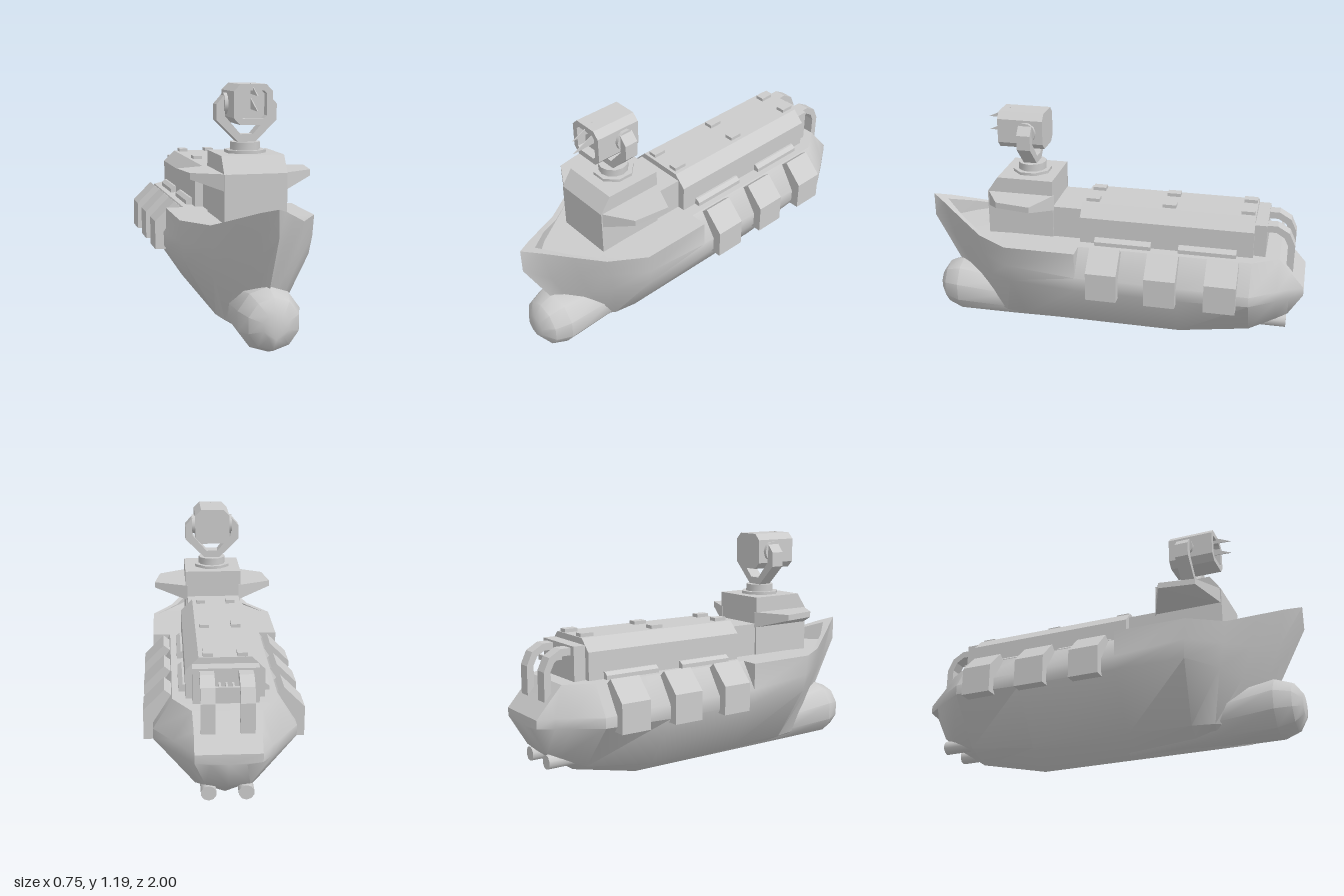
import * as THREE from 'three';
import { toCreasedNormals } from 'three/addons/utils/BufferGeometryUtils.js';
import { ConvexGeometry } from 'three/addons/geometries/ConvexGeometry.js';

const grey = new THREE.MeshStandardMaterial({ color: 0xcccccc });

export function createModel() {
  const model = new THREE.Group();

  const add = (name, geo, x = 0, y = 0, z = 0) => {
    const mesh = new THREE.Mesh(geo, grey);
    mesh.name = name;
    mesh.position.set(x, y, z);
    model.add(mesh);
    return mesh;
  };
  const box = (name, x0, x1, y0, y1, z0, z1) =>
    add(name, new THREE.BoxGeometry(x1 - x0, y1 - y0, z1 - z0), (x0 + x1) / 2, (y0 + y1) / 2, (z0 + z1) / 2);

  // Prism from an xy outline, running from z0 to z1
  const prismZ = (pts, z0, z1, hole) => {
    const shape = new THREE.Shape(pts.map(p => new THREE.Vector2(...p)));
    if (hole) shape.holes.push(new THREE.Path(hole.map(p => new THREE.Vector2(...p))));
    return new THREE.ExtrudeGeometry(shape, { depth: z1 - z0, bevelEnabled: false }).translate(0, 0, z0);
  };
  // Prism from a (z, y) side outline, centred across x
  const prismX = (pts, width) => prismZ(pts, -width / 2, width / 2).rotateY(-Math.PI / 2);
  const mirrored = half => [...half, ...half.slice().reverse().map(([x, y]) => [-x, y])];

  // Skin closed rings, ordered from stern to bow, with capped ends
  const loft = (rings, crease) => {
    const n = rings[0].length, index = [];
    for (let i = 0; i < rings.length - 1; i++) {
      for (let j = 0; j < n; j++) {
        const k = (j + 1) % n;
        const a = i * n + j, b = i * n + k, c = a + n, d = b + n;
        index.push(a, b, c, b, d, c);
      }
    }
    const last = (rings.length - 1) * n;
    for (let j = 1; j < n - 1; j++) {
      index.push(0, j + 1, j);
      index.push(last, last + j, last + j + 1);
    }
    const geo = new THREE.BufferGeometry();
    geo.setAttribute('position', new THREE.Float32BufferAttribute(rings.flat(2), 3));
    geo.setIndex(index);
    return toCreasedNormals(geo.toNonIndexed(), crease);
  };

  // Hull station: keel, bilge, chine, shoulder, rail, then the bulwark and deck inside
  const station = (zKeel, zTop, keelY, bilge, chine, shoulder, rail, deckY, t = 0.03) => {
    const inner = Math.max(rail[0] - t, 0);
    const half = [[0, keelY], bilge, chine, shoulder, rail, [inner, rail[1]], [inner, deckY], [0, deckY]];
    const ring = half.map(([x, y]) => [x, y, zKeel + (zTop - zKeel) * Math.min(y / 0.55, 1)]);
    const other = ring.slice(1, -1).reverse().map(([x, y, z]) => [-x, y, z]);
    return [...ring, ...other];
  };
  add('hull', loft([
    station(-1, -1, 0.35, [0.08, 0.35], [0.15, 0.36], [0.15, 0.4], [0.15, 0.4], 0.4),
    station(-0.93, -0.93, 0.21, [0.1, 0.22], [0.2, 0.36], [0.2, 0.41], [0.15, 0.48], 0.48),
    station(-0.87, -0.87, 0.165, [0.115, 0.19], [0.243, 0.36], [0.243, 0.41], [0.155, 0.55], 0.55),
    station(-0.74, -0.74, 0.08, [0.14, 0.13], [0.33, 0.36], [0.33, 0.41], [0.24, 0.555], 0.555),
    station(-0.38, -0.38, 0, [0.15, 0.08], [0.33, 0.35], [0.33, 0.42], [0.24, 0.555], 0.555),
    station(0.135, 0.135, 0, [0.15, 0.08], [0.33, 0.35], [0.33, 0.42], [0.24, 0.555], 0.555),
    station(0.135, 0.135, 0, [0.15, 0.08], [0.33, 0.35], [0.33, 0.42], [0.33, 0.555], 0.555),
    station(0.45, 0.5, 0, [0.15, 0.08], [0.31, 0.36], [0.325, 0.45], [0.33, 0.555], 0.555),
    station(0.55, 0.67, 0, [0.13, 0.08], [0.2, 0.33], [0.212, 0.45], [0.222, 0.557], 0.55),
    station(0.6, 0.8, 0, [0.09, 0.08], [0.11, 0.3], [0.125, 0.45], [0.137, 0.605], 0.55),
    station(0.67, 0.92, 0, [0.03, 0.08], [0.03, 0.3], [0.045, 0.45], [0.056, 0.65], 0.55, 0.056),
    station(0.71, 1, 0, [0, 0.08], [0, 0.3], [0, 0.55], [0, 0.675], 0.675),
  ], 0.65));

  // Bulbous bow: [z, radius, centre height]
  const bulb = [[0.1, 0.07, 0.075], [0.55, 0.125, 0.13], [0.85, 0.15, 0.157], [0.93, 0.12, 0.157], [0.97, 0.06, 0.157]];
  add('bulbousBow', loft(bulb.map(([z, r, cy]) => Array.from({ length: 10 }, (_, k) => {
    const a = k / 10 * Math.PI * 2 - Math.PI / 2;
    return [r * Math.cos(a), cy + r * Math.sin(a), z];
  })), 0.7));

  // Long cargo housing with chamfered roof, and its end blocks
  add('cargoHousing', prismZ(mirrored([[0.18, 0.54], [0.18, 0.69], [0.12, 0.75]]), -0.74, 0.14));
  box('housingFront', -0.14, 0.14, 0.54, 0.72, 0.13, 0.3);
  box('housingRear', -0.15, 0.15, 0.54, 0.72, -0.8, -0.73);

  // Bridge with sloped upper front
  add('bridge', prismX([[0.29, 0.54], [0.635, 0.54], [0.635, 0.78], [0.58, 0.86], [0.29, 0.86]], 0.3));

  for (const s of [-1, 1]) {
    // Tapered bridge wings
    const wing = [[0.14, 0.7, 0.285], [0.14, 0.7, 0.635], [0.14, 0.782, 0.285], [0.14, 0.782, 0.635],
      [0.318, 0.752, 0.365], [0.29, 0.752, 0.545], [0.318, 0.782, 0.365], [0.29, 0.782, 0.545]];
    add('bridgeWing', new ConvexGeometry(wing.map(([x, y, z]) => new THREE.Vector3(s * x, y, z))));

    // Side pods hanging over the shoulder
    const pod = [[0.25, 0.33], [0.374, 0.33], [0.374, 0.475], [0.275, 0.574], [0.25, 0.553], [0.23, 0.54]];
    for (const z of [-0.01, -0.305, -0.602])
      add('sidePod', prismZ(pod.map(([x, y]) => [s * x, y]), z - 0.078, z + 0.078));

    // Low lockers along the housing
    for (const z of [-0.085, -0.515]) {
      const locker = [[0.17, 0.54], [0.21, 0.54], [0.21, 0.575], [0.19, 0.59], [0.17, 0.59]];
      add('deckLocker', prismZ(locker.map(([x, y]) => [s * x, y]), z - 0.145, z + 0.145));
    }

    // Roof hatches
    for (const z of [-0.7, -0.305, 0.09])
      box('roofHatch', s * 0.077 - 0.023, s * 0.077 + 0.023, 0.745, 0.767, z - 0.034, z + 0.034);

    // Curved stern ducts and exhaust pipes
    add('sternDuct', prismX([[-0.79, 0.71], [-0.85, 0.71], [-0.91, 0.675], [-0.94, 0.61], [-0.94, 0.44],
      [-0.905, 0.44], [-0.905, 0.61], [-0.885, 0.65], [-0.845, 0.675], [-0.79, 0.675]], 0.065), s * 0.087);
    add('exhaustPipe', new THREE.CylinderGeometry(0.036, 0.036, 0.22, 10).rotateX(Math.PI / 2), s * 0.085, 0.172, -0.815);
  }

  // Stern rack between the ducts
  for (const x of [-0.03, 0, 0.03]) box('rackBar', x - 0.005, x + 0.005, 0.64, 0.655, -0.87, -0.79);
  box('rackCrossbar', -0.06, 0.06, 0.635, 0.66, -0.875, -0.862);

  // Mast base and yoke
  const mastZ = 0.435;
  add('mastPlate', new THREE.CylinderGeometry(0.1, 0.1, 0.025, 8).rotateY(Math.PI / 8), 0, 0.862, mastZ);
  add('mastColumn', toCreasedNormals(new THREE.CylinderGeometry(0.073, 0.073, 0.06, 12), 0.7), 0, 0.882, mastZ);
  add('yoke', prismZ(mirrored([[0.035, 0.905], [0.146, 1.015], [0.146, 1.09], [0.108, 1.133], [0.104, 1.125],
    [0.106, 1.035], [0.03, 0.948]]), 0.4, 0.47));

  // Swivelling head with a recessed front
  const octagon = (w, c) => [[w, c - w], [w, w - c], [w - c, w], [c - w, w], [-w, w - c], [-w, c - w], [c - w, -w], [w - c, -w]];
  const headY = 1.093;
  add('headBody', prismZ(octagon(0.093, 0.032), 0.35, 0.54), 0, headY);
  add('headRim', prismZ(octagon(0.093, 0.032), 0.54, 0.585, octagon(0.064, 0.014)), 0, headY);
  add('headPivot', new THREE.CylinderGeometry(0.052, 0.052, 0.22, 10).rotateZ(Math.PI / 2), 0, headY, mastZ);
  // Thin pointed fins in the recess
  for (const y of [1.13, 1.06])
    add('headFin', prismX([[0.54, y + 0.01], [0.66, y + 0.005], [0.54, y + 0.06]], 0.004));

  return model;
}
